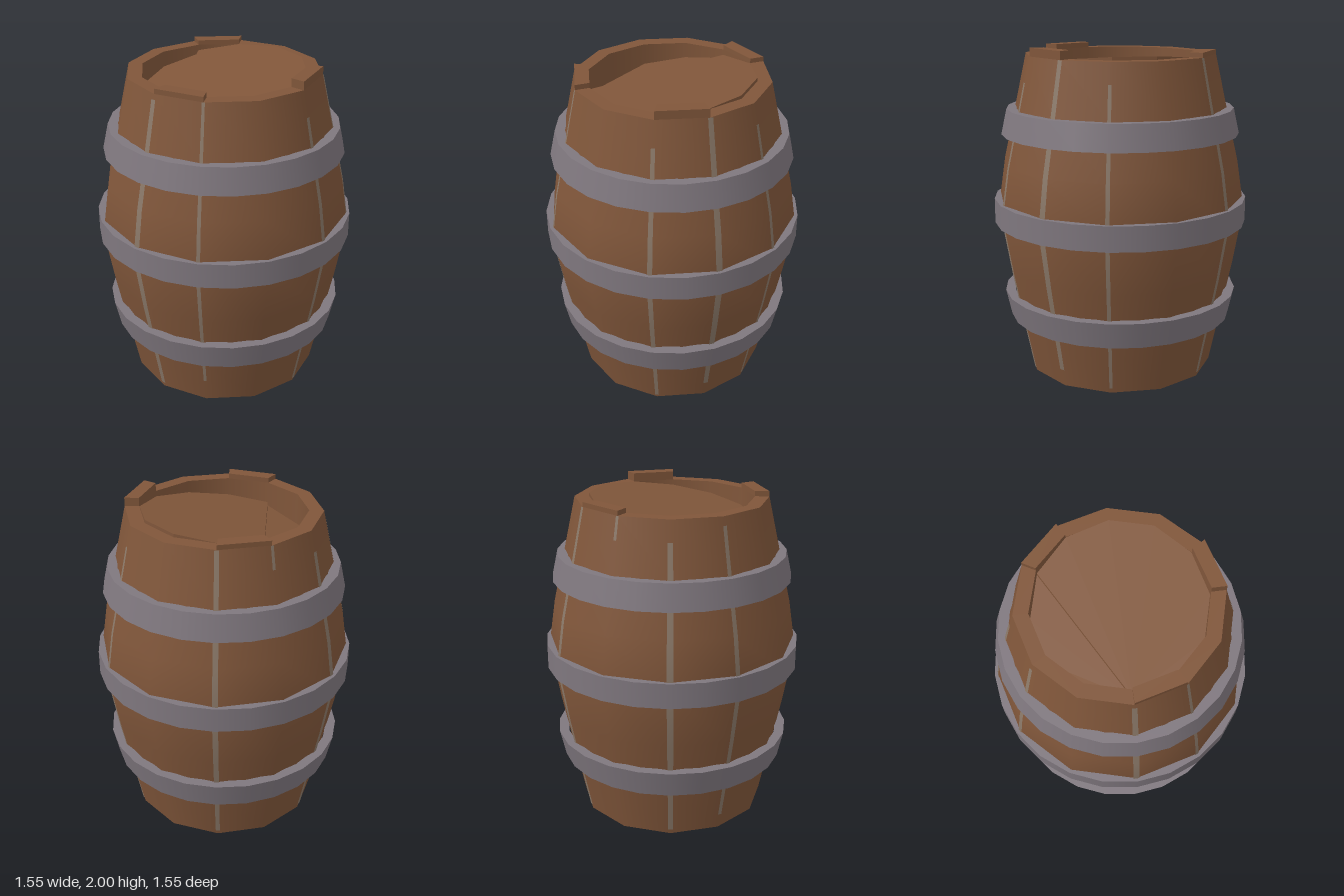
import * as THREE from 'three';

const rad = THREE.MathUtils.degToRad;
const RIM = 0.575, INNER = 0.49, TOP = 1.95, SIDES = 12;

const wood = new THREE.MeshStandardMaterial({ color: 0x80563a });
wood.name = 'brown wood';
const iron = new THREE.MeshStandardMaterial({ color: 0x7f777e });
iron.name = 'grey iron';
const worn = new THREE.MeshStandardMaterial({ color: 0x8a7868 });
worn.name = 'worn seam';

// Barrel profile as [y, radius]
const PROFILE = [[0, RIM], [0.33, 0.643], [0.65, 0.708], [1, 0.768], [1.3, 0.722], [1.63, 0.647], [TOP, RIM]];

function radiusAt(y) {
  for (let i = 1; i < PROFILE.length; i++) {
    const [y0, r0] = PROFILE[i - 1], [y1, r1] = PROFILE[i];
    if (y <= y1) return r0 + (r1 - r0) * (y - y0) / (y1 - y0);
  }
  return RIM;
}

function add(group, name, geometry, material) {
  const mesh = new THREE.Mesh(geometry, material);
  mesh.name = name;
  group.add(mesh);
  return mesh;
}

// Turned surface through [radius, y] points
function turned(points, sides, start = 0, length = Math.PI * 2) {
  return new THREE.LatheGeometry(points.map(([r, y]) => new THREE.Vector2(r, y)), sides, start, length);
}

const ringPoint = (deg, r) => [r * Math.sin(rad(deg)), r * Math.cos(rad(deg))];

// Flat-sided slab over counterclockwise [x, z] corners with a height rule for its top
function slab(corners, heightAt, thickness) {
  const pos = [];
  const tops = corners.map(([x, z]) => [x, heightAt(x, z), z]);
  const low = ([x, y, z]) => [x, y - thickness, z];
  for (let i = 1; i < tops.length - 1; i++) pos.push(...tops[0], ...tops[i], ...tops[i + 1]);
  tops.forEach((a, i) => {
    const b = tops[(i + 1) % tops.length];
    pos.push(...a, ...low(a), ...low(b), ...a, ...low(b), ...b);
  });
  const geometry = new THREE.BufferGeometry();
  geometry.setAttribute('position', new THREE.Float32BufferAttribute(pos, 3));
  geometry.computeVertexNormals();
  return geometry;
}

// Iron hoop with separate faces so its edges stay sharp
function hoop(name, y0, r0, y1, r1) {
  const group = new THREE.Group();
  group.name = name;
  const inner = 0.06;
  add(group, 'hoopOuter', turned([[r0, y0], [r1, y1]], 24), iron);
  add(group, 'hoopTop', turned([[r1, y1], [r1 - inner, y1]], 24), iron);
  add(group, 'hoopUnderside', turned([[r0 - inner, y0], [r0, y0]], 24), iron);
  return group;
}

export function createModel() {
  const model = new THREE.Group();
  model.name = 'barrel';

  // Staves, rims and inner walls
  add(model, 'staves', turned(PROFILE.map(([y, r]) => [r, y]), SIDES), wood);
  add(model, 'topRim', turned([[RIM, TOP], [INNER, TOP]], SIDES), wood);
  add(model, 'topInnerWall', turned([[INNER, TOP], [INNER, 1.7]], SIDES), wood);
  add(model, 'bottomRim', turned([[INNER, 0], [RIM, 0]], SIDES), wood);
  add(model, 'bottomInnerWall', turned([[INNER, 0.05], [INNER, 0]], SIDES), wood);
  const base = add(model, 'base', new THREE.CircleGeometry(INNER, SIDES).rotateX(Math.PI / 2), wood);
  base.position.y = 0.05;

  // Stave ends standing above the rim: [start angle, top height]
  for (const [a, y] of [[-30, 1.98], [60, 2], [180, 1.978]]) {
    const corners = [ringPoint(a, RIM), ringPoint(a + 30, RIM), ringPoint(a + 30, INNER), ringPoint(a, INNER)];
    add(model, 'raisedStaveEnd', slab(corners, () => y, y - TOP + 0.001), wood);
  }

  // Tilted lid, and a sunken plank with one dropped corner
  const lidCorners = [];
  for (let a = -30; a <= 210; a += 30) lidCorners.push(ringPoint(a, INNER - 0.002));
  add(model, 'lid', slab(lidCorners, (x, z) => 1.897 + 0.108 * (x - z), 0.05), wood);
  const plankCorners = [330, 210, 240, 270, 300].map((a) => ringPoint(a, INNER));
  const plankHeight = (x, z) => 1.875 + 0.108 * (x - z) - (z > 0.2 && x < -0.4 ? 0.06 : 0);
  add(model, 'lidPlank', slab(plankCorners, plankHeight, 0.05), wood);

  // Iron hoops
  model.add(hoop('lowerHoop', 0.33, 0.69, 0.49, 0.725));
  model.add(hoop('middleHoop', 0.93, 0.777, 1.08, 0.777));
  model.add(hoop('upperHoop', 1.475, 0.725, 1.63, 0.69));

  // Worn seams between staves: [angle, bottom, top, width]
  const seams = [
    [-30, 0.03, 1.92, 0.034], [0, 0.16, 1.95, 0.02], [60, 0.02, 1.8, 0.026], [90, 0.11, 1.95, 0.034],
    [120, 0.03, 1.83, 0.022], [180, 0.03, 1.95, 0.03], [210, 1.82, 1.95, 0.02], [240, 0.03, 1.83, 0.034],
    [270, 0.1, 1.9, 0.026],
  ];
  for (const [angle, y0, y1, width] of seams) {
    const heights = [y0, ...PROFILE.map((p) => p[0]).filter((y) => y > y0 && y < y1), y1];
    const points = heights.map((y) => [radiusAt(y) + 0.002, y]);
    const spread = width / 0.68;
    add(model, 'seam', turned(points, 1, rad(angle) - spread / 2, spread), worn);
  }

  return model;
}
